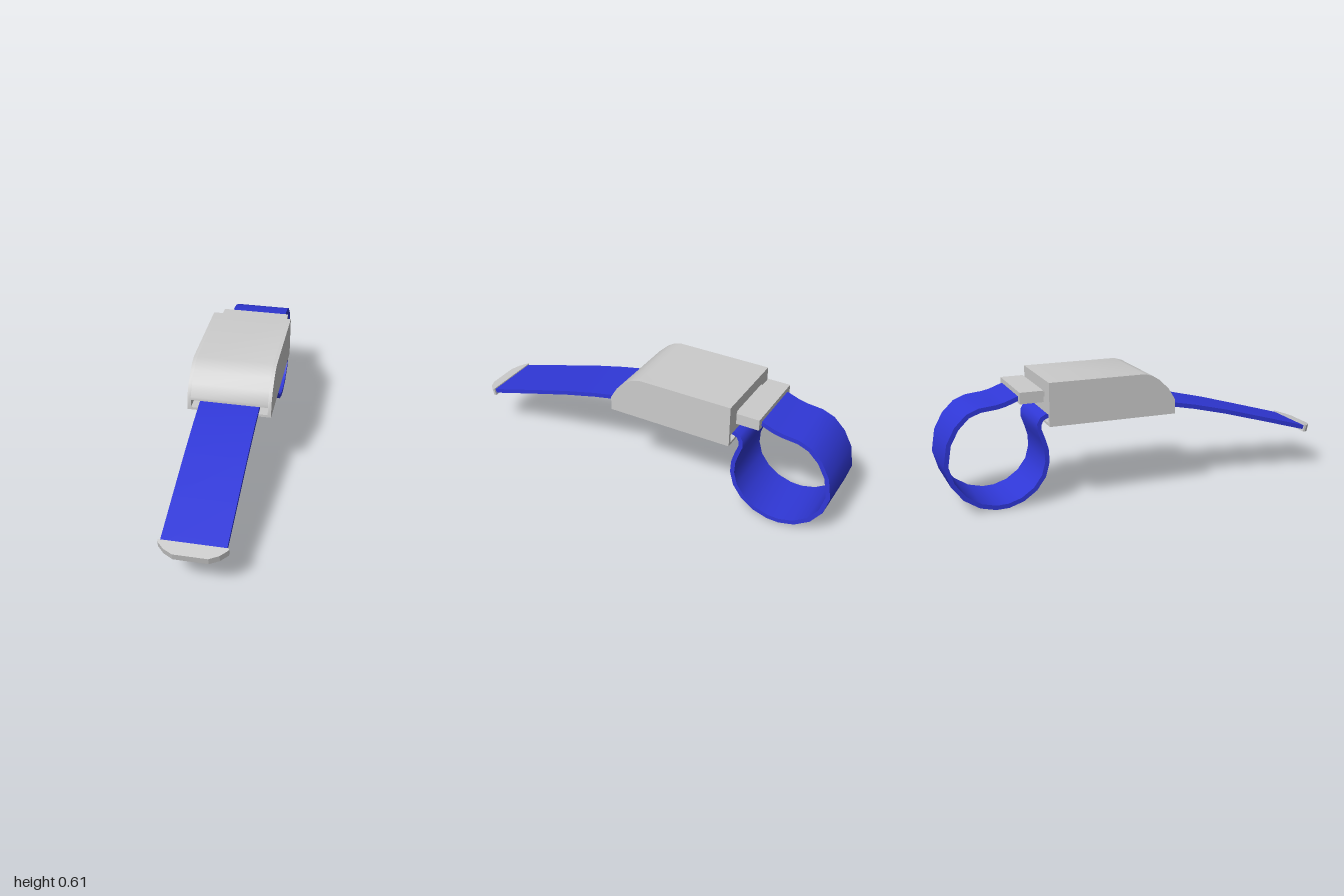
import * as THREE from 'three';
import { toCreasedNormals } from 'three/addons/utils/BufferGeometryUtils.js';

const grey = new THREE.MeshStandardMaterial({ color: 0xcccccc });
const blue = new THREE.MeshStandardMaterial({ color: 0x3038d8 });

// Extrude a side profile of [z, y] points across x, from x0 to x1
function sideExtrude(points, x0, x1, crease) {
  const shape = new THREE.Shape(points.map(([z, y]) => new THREE.Vector2(z, y)));
  const geo = new THREE.ExtrudeGeometry(shape, { depth: x1 - x0, bevelEnabled: false });
  geo.rotateY(-Math.PI / 2).translate(x1, 0, 0);
  return toCreasedNormals(geo, crease);
}

function add(parent, name, geo, material) {
  const mesh = new THREE.Mesh(geo, material);
  mesh.name = name;
  parent.add(mesh);
  return mesh;
}

function box(parent, name, [x0, x1], [y0, y1], [z0, z1]) {
  const geo = new THREE.BoxGeometry(x1 - x0, y1 - y0, z1 - z0);
  geo.translate((x0 + x1) / 2, (y0 + y1) / 2, (z0 + z1) / 2);
  return add(parent, name, geo, grey);
}

// Thicken a centre line of [z, y] points into a closed band outline
function bandOutline(path, thickness) {
  const upper = [], lower = [];
  path.forEach(([z, y], i) => {
    const a = path[Math.max(i - 1, 0)], b = path[Math.min(i + 1, path.length - 1)];
    const dz = b[0] - a[0], dy = b[1] - a[1], k = thickness / 2 / Math.hypot(dz, dy);
    upper.push([z - dy * k, y + dz * k]);
    lower.push([z + dy * k, y - dz * k]);
  });
  return [...upper, ...lower.reverse()];
}

export function createModel() {
  const model = new THREE.Group();
  model.name = 'strapBuckle';

  // Housing: solid rounded top over a tunnel open at front and back
  const housing = new THREE.Group();
  housing.name = 'housing';
  model.add(housing);
  const back = -0.505, front = 0.14, half = 0.21, inner = 0.193, roof = 0.455, floor = 0.413;
  const top = [[front, 0.472], [0.105, 0.53], [0.055, 0.578], [0.02, 0.6], [-0.02, 0.612], [back, 0.612]];
  add(housing, 'housingTop', sideExtrude([[back, roof], [front, roof], ...top], -inner, inner, 0.57), grey);
  for (const s of [1, -1]) {
    const xs = s > 0 ? [inner, half] : [-half, -inner];
    add(housing, s > 0 ? 'leftWall' : 'rightWall',
      sideExtrude([[back, 0.4], [front, 0.4], ...top], xs[0], xs[1], 0.57), grey);
  }
  box(housing, 'housingFloor', [-inner, inner], [0.4, floor], [back, front]);

  // Clip on the back, joined to the housing by a tongue
  box(model, 'tongue', [-0.135, 0.135], [0.53, 0.555], [-0.53, -0.49]);
  box(model, 'clip', [-0.178, 0.178], [0.515, 0.57], [-0.637, -0.522]);

  // Strap: loose front end, through the tunnel, then round the loop to the clip
  const path = [
    [0.95, 0.221], [0.7, 0.293], [0.46, 0.361], [0.28, 0.405], [0.14, 0.433], [0.05, 0.443], [-0.1, 0.445],
    [-0.46, 0.445], [-0.5, 0.438], [-0.525, 0.425], [-0.538, 0.4], [-0.538, 0.37], [-0.52, 0.32],
    [-0.506, 0.27], [-0.503, 0.21], [-0.522, 0.14], [-0.566, 0.08], [-0.63, 0.035], [-0.7, 0.013],
    [-0.76, 0.011], [-0.835, 0.03], [-0.908, 0.077], [-0.963, 0.15], [-0.989, 0.24], [-0.972, 0.345],
    [-0.932, 0.42], [-0.878, 0.473], [-0.82, 0.496], [-0.74, 0.504], [-0.7, 0.513], [-0.64, 0.535], [-0.6, 0.543],
  ];
  add(model, 'strap', sideExtrude(bandOutline(path, 0.022), -0.149, 0.149, 0.75), blue);

  // Metal tip with clipped corners on the loose end
  const outline = [[0.158, 0], [0.158, 0.012], [0.125, 0.045], [0.08, 0.068]];
  const tipShape = new THREE.Shape([
    ...outline, ...outline.map(([x, l]) => [-x, l]).reverse(),
  ].map(([x, l]) => new THREE.Vector2(x, l)));
  const tipGeo = new THREE.ExtrudeGeometry(tipShape, { depth: 0.038, bevelEnabled: false });
  tipGeo.rotateX(Math.PI / 2).translate(0, 0.019, 0);
  const tip = add(model, 'strapTip', tipGeo, grey);
  tip.position.set(0, 0.224, 0.93);
  tip.rotation.x = 0.25;

  return model;
}
